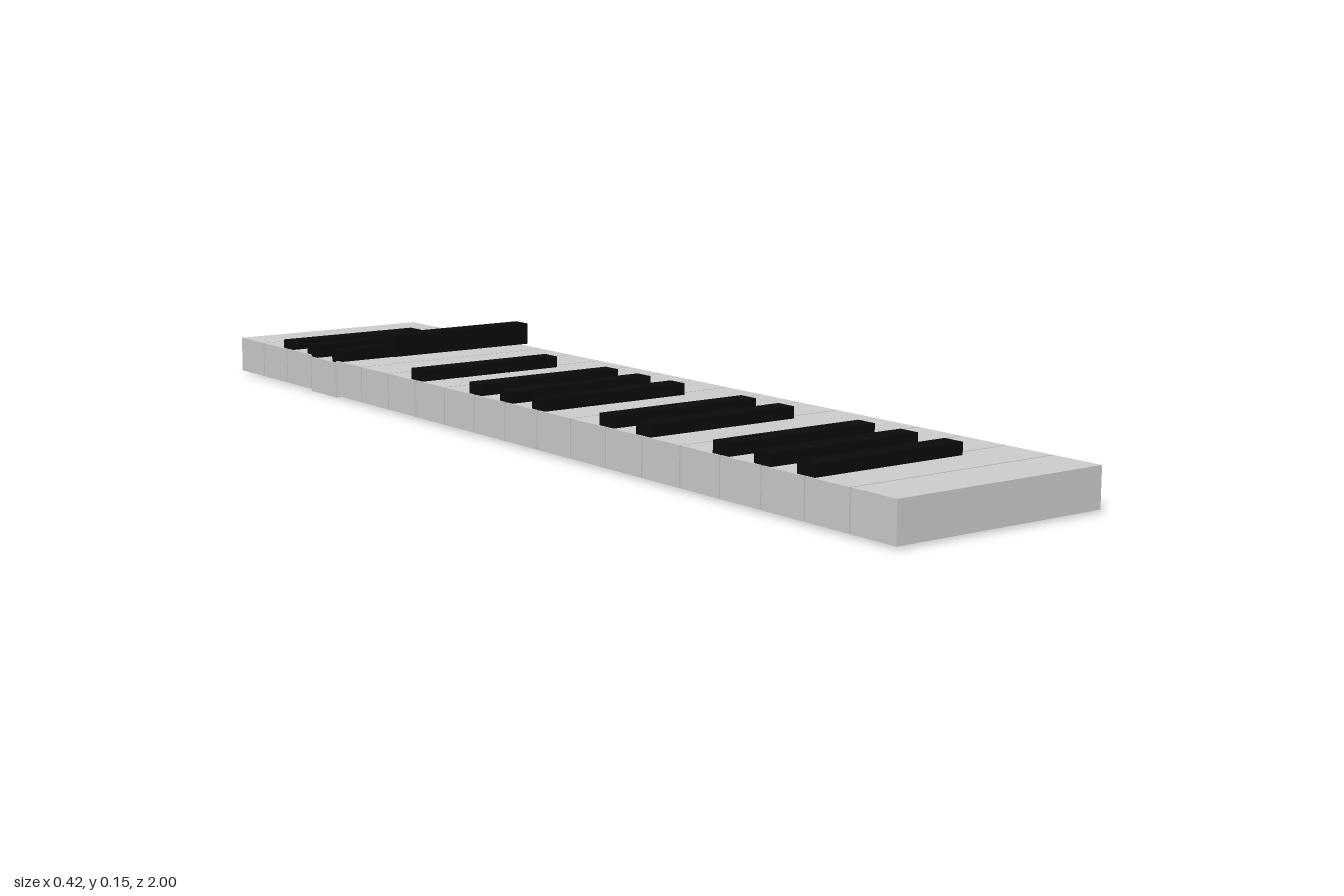
import * as THREE from 'three';

export function createModel() {
  const group = new THREE.Group();
  group.name = 'pianoKeys';
  const white = new THREE.MeshStandardMaterial({ color: 0xcccccc });
  const black = new THREE.MeshStandardMaterial({ color: 0x0a0a0a });

  function addKey(name, geometry, material, x, y, z) {
    const key = new THREE.Mesh(geometry, material);
    key.name = name;
    key.position.set(x, y, z);
    group.add(key);
  }

  // Twenty natural keys with hairline gaps, one of them pressed slightly
  const count = 20, width = 0.097, pressed = 3;
  const pitch = (2 - width) / (count - 1);
  const naturalGeo = new THREE.BoxGeometry(0.42, 0.069, width);
  for (let i = 0; i < count; i++) {
    const y = 0.0385 - (i === pressed ? 0.004 : 0);
    addKey('whiteKey' + (i + 1), naturalGeo, white, 0, y, -1 + width / 2 + i * pitch);
  }

  // Sharps straddle the gaps and sink into the naturals; one floats above
  const sharpGeo = new THREE.BoxGeometry(0.302, 0.04, 0.04);
  const slots = [-8, -7, -6, -4, -3, -1, 0, 1, 3, 4, 6, 7, 8];
  const lift = { '-8': -0.004, '-4': 0.053 };
  slots.forEach((slot, i) => {
    addKey('blackKey' + (i + 1), sharpGeo, black, -0.056, 0.074 + (lift[slot] || 0), slot * 0.1);
  });

  return group;
}
